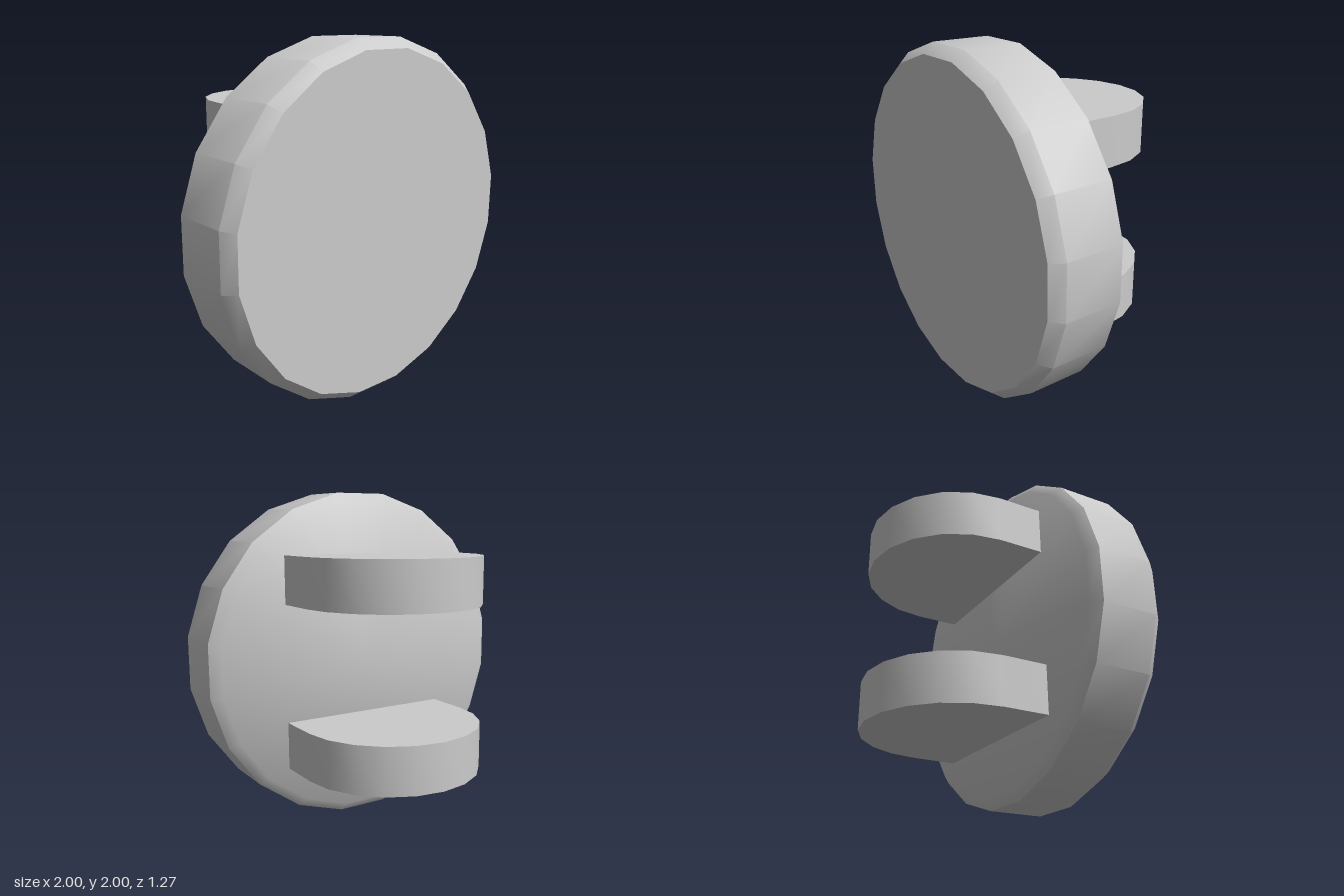
import * as THREE from 'three';
import { toCreasedNormals } from 'three/addons/utils/BufferGeometryUtils.js';

const material = new THREE.MeshStandardMaterial({ color: 0xcccccc });
const CREASE = 0.724; // front bevel blends into the rim, back bevel stays sharp

function addPart(group, name, geometry) {
  const mesh = new THREE.Mesh(toCreasedNormals(geometry, CREASE), material);
  mesh.name = name;
  group.add(mesh);
  return mesh;
}

// Twenty-sided disc with bevelled rims, its axis along z
function discGeometry() {
  const sides = 20;
  const k = 1 / Math.cos(Math.PI / sides); // flat-to-flat radius to corner radius
  const profile = [
    [0, 0.178], [0.943, 0.178], [1, 0.228],
    [1, 0.568], [0.943, 0.635], [0, 0.635],
  ].map(([r, z]) => new THREE.Vector2(r * k, z));
  return new THREE.LatheGeometry(profile, sides, Math.PI / sides).rotateX(Math.PI / 2);
}

// Flat prong: straight sides leaving the disc, ending in a half circle
function prongGeometry(height) {
  const r = 0.545, centre = 0.09, root = -0.19;
  const shape = new THREE.Shape();
  shape.moveTo(-r, root);
  shape.lineTo(r, root);
  shape.lineTo(r, centre);
  shape.absarc(0, centre, r, 0, Math.PI, false);
  shape.closePath();
  return new THREE.ExtrudeGeometry(shape, { depth: height, bevelEnabled: false, curveSegments: 5 })
    .rotateX(-Math.PI / 2);
}

export function createModel() {
  const group = new THREE.Group();
  group.name = 'roundKnob';

  addPart(group, 'disc', discGeometry()).position.y = 1;

  // Two matching prongs behind the disc
  for (const [name, y] of [['lowerProng', 0.367], ['upperProng', 1.357]]) {
    addPart(group, name, prongGeometry(0.284)).position.y = y;
  }
  return group;
}
